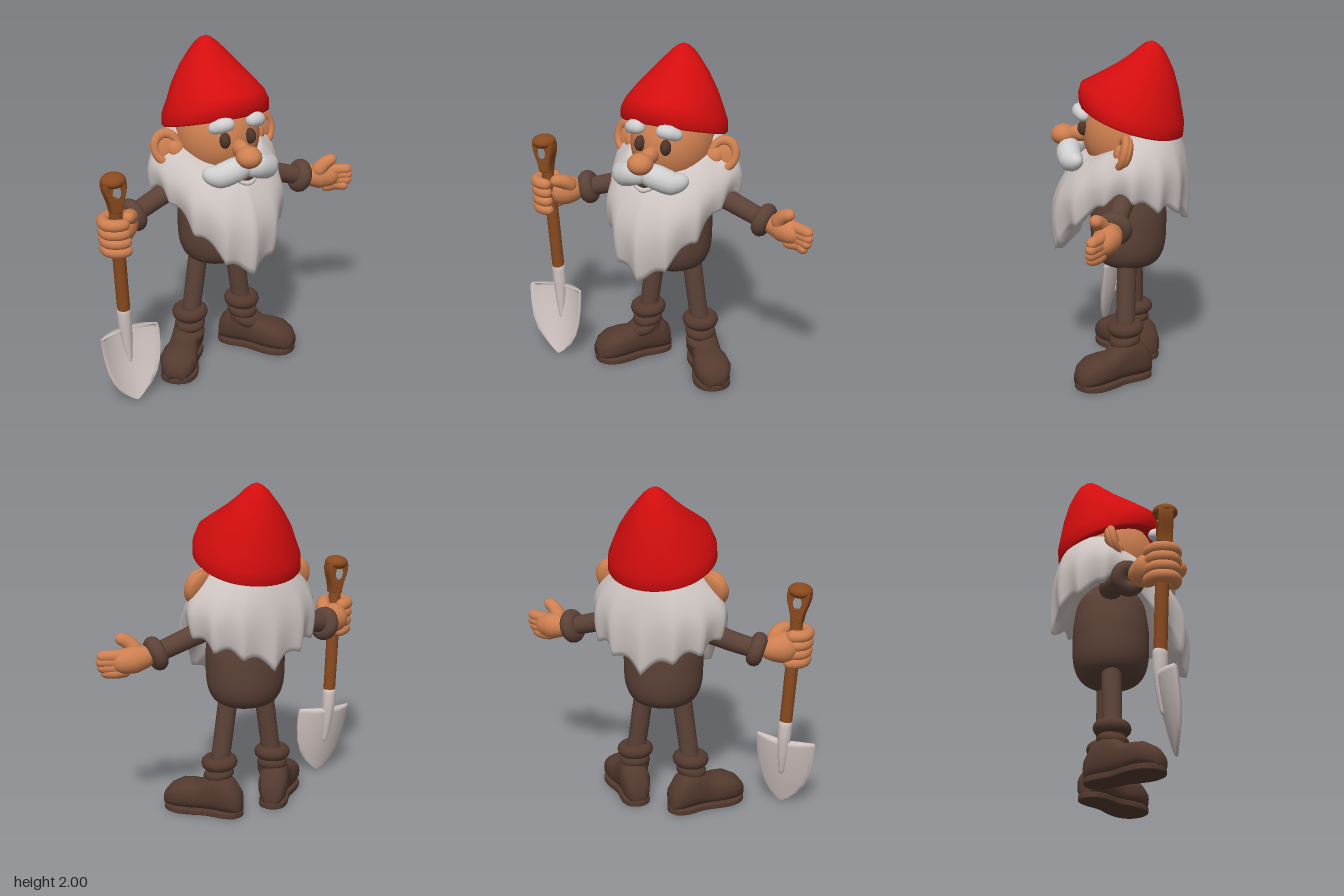
import * as THREE from 'three';

const mat = (name, color) => Object.assign(new THREE.MeshStandardMaterial({ color }), { name });
const V = (x, y, z) => new THREE.Vector3(x, y, z);

// Linear interpolation through [key, value] pairs
function lookup(table, k) {
  let i = 0;
  while (i < table.length - 2 && k > table[i + 1][0]) i++;
  const [a, va] = table[i], [b, vb] = table[i + 1];
  return THREE.MathUtils.lerp(va, vb, THREE.MathUtils.clamp((k - a) / (b - a), 0, 1));
}

// Smooth closed skin over rings of points, capped at both ends, facing outward
function loft(rings) {
  const n = rings[0].length, pts = rings.flat(), idx = [];
  for (let r = 0; r < rings.length - 1; r++)
    for (let i = 0; i < n; i++) {
      const a = r * n + i, b = r * n + (i + 1) % n;
      idx.push(a, b, a + n, b, b + n, a + n);
    }
  [0, rings.length - 1].forEach((r, end) => {
    const c = pts.length;
    pts.push(rings[r].reduce((s, p) => s.add(p), V(0, 0, 0)).divideScalar(n));
    for (let i = 0; i < n; i++) {
      const a = r * n + i, b = r * n + (i + 1) % n;
      if (end) idx.push(a, b, c);
      else idx.push(b, a, c);
    }
  });
  let volume = 0;
  for (let i = 0; i < idx.length; i += 3)
    volume += pts[idx[i]].dot(pts[idx[i + 1]].clone().cross(pts[idx[i + 2]]));
  if (volume < 0) idx.reverse();
  const g = new THREE.BufferGeometry().setFromPoints(pts);
  g.setIndex(idx);
  g.computeVertexNormals();
  return g;
}

// Round-ended tube of changing radius along a smooth path
function sweep(points, radii, n = 20, sides = 16) {
  const curve = new THREE.CatmullRomCurve3(points.map(p => V(...p)));
  const L = curve.getLength(), rings = [];
  const table = radii.map((r, i) => [i / (radii.length - 1), r]);
  const dir = curve.getTangentAt(0.5);
  const ref = Math.abs(dir.y) > 0.8 ? V(0, 0, 1) : V(0, 1, 0);
  for (let i = 0; i <= n; i++) {
    const t = (1 - Math.cos(Math.PI * i / n)) / 2, r0 = lookup(table, t);
    const d = Math.min(t, 1 - t) * L;
    const r = d < r0 ? r0 * Math.sqrt(Math.max(1e-4, 1 - (1 - d / r0) ** 2)) : r0;
    const p = curve.getPointAt(t), T = curve.getTangentAt(t);
    const A = ref.clone().cross(T).normalize(), B = T.clone().cross(A);
    rings.push(Array.from({ length: sides }, (_, k) => {
      const a = 2 * Math.PI * k / sides;
      return p.clone().addScaledVector(A, r * Math.cos(a)).addScaledVector(B, r * Math.sin(a));
    }));
  }
  return loft(rings);
}

export function createModel() {
  const M = {
    hat: mat('hat red', 0xd40d0e), skin: mat('skin', 0xcd7f50), beard: mat('beard grey', 0xcdc4c1),
    brow: mat('moustache grey', 0xcfcfcf), cloth: mat('brown cloth', 0x5c4237), boot: mat('boot leather', 0x543a2f),
    wood: mat('wood', 0x8a4a1f), metal: mat('metal', 0xcfc3c0), dark: mat('eye brown', 0x4e352a),
  };
  const model = new THREE.Group();
  model.name = 'gnome';
  const gnome = new THREE.Group();
  gnome.name = 'figure';
  gnome.position.x = -0.02;
  model.add(gnome);
  const add = (parent, name, geo, m, pos = [0, 0, 0], scale = [1, 1, 1], rot = [0, 0, 0]) => {
    const mesh = new THREE.Mesh(geo, m);
    mesh.name = name;
    mesh.position.set(...pos);
    mesh.scale.set(...scale);
    mesh.rotation.set(...rot);
    parent.add(mesh);
    return mesh;
  };
  const ball = new THREE.SphereGeometry(1, 32, 22);

  // Body
  const profile = new THREE.SplineCurve([[0, 0.66], [0.11, 0.665], [0.185, 0.7], [0.225, 0.78], [0.235, 0.9],
    [0.228, 1.05], [0.18, 1.2], [0, 1.29]].map(p => new THREE.Vector2(...p))).getPoints(40);
  profile.forEach(p => { p.x = Math.max(0, p.x); });
  add(gnome, 'body', new THREE.LatheGeometry(profile, 40), M.cloth, [0, 0, -0.06], [1, 1, 0.95]);

  // Legs and boots, turned outward
  const bootSections = [[-0.15, 0.03, 0.1], [-0.135, 0.065, 0.17], [-0.08, 0.088, 0.24], [0, 0.086, 0.28], [0.06, 0.085, 0.25],
    [0.11, 0.09, 0.205], [0.17, 0.107, 0.2], [0.24, 0.112, 0.19], [0.3, 0.09, 0.155], [0.335, 0.05, 0.11]];
  const bootGeo = loft(bootSections.map(([z, w, h]) => Array.from({ length: 28 }, (_, k) => {
    const a = 2 * Math.PI * k / 28, s = Math.sin(a);
    return V(w * Math.cos(a), 0.02 + (h - 0.02) * (0.5 + 0.5 * Math.sign(s) * Math.abs(s) ** 0.75), z);
  })));
  const outline = [[0, -0.152], [0.06, -0.125], [0.08, -0.06], [0.076, 0.05], [0.1, 0.16], [0.104, 0.24], [0.07, 0.31]];
  const mirrored = outline.slice(1).reverse().map(([x, z]) => [-x, z]);
  const soleCurve = new THREE.CatmullRomCurve3([...outline, [0, 0.335], ...mirrored].map(([x, z]) => V(x, -z, 0)), true);
  const soleShape = new THREE.Shape(soleCurve.getPoints(48).slice(0, -1).map(p => new THREE.Vector2(p.x, p.y)));
  const soleGeo = new THREE.ExtrudeGeometry(soleShape, { depth: 0.02, bevelSize: 0.006, bevelThickness: 0.008, bevelSegments: 2 });
  soleGeo.rotateX(-Math.PI / 2);
  for (const s of [1, -1]) {
    add(gnome, 'leg', sweep([[s * 0.11, 0.78, -0.07], [s * 0.18, 0.28, -0.07]], [0.058, 0.056]), M.cloth);
    const boot = new THREE.Group();
    boot.name = 'boot';
    boot.position.set(s * 0.195, 0, -0.085);
    boot.rotation.y = s * 0.7;
    gnome.add(boot);
    add(boot, 'bootUpper', bootGeo, M.boot);
    add(boot, 'bootSole', soleGeo, M.boot, [0, 0.014, 0]);
    for (const [y, z, R, r, tilt] of [[0.325, 0, 0.066, 0.042, 0.06], [0.25, 0.005, 0.058, 0.034, 0.2], [0.2, 0.03, 0.06, 0.034, 0.4]])
      add(boot, 'bootFold', new THREE.TorusGeometry(R, r, 12, 32), M.boot, [-s * 0.02, y, z], [1, 1, 1], [Math.PI / 2 + tilt, 0, 0]);
    add(boot, 'bootShaft', new THREE.CylinderGeometry(0.072, 0.078, 0.16, 24), M.boot, [-s * 0.02, 0.26, 0]);
  }

  // Head, nose, eyes, brows, moustache, ears
  add(gnome, 'head', ball, M.skin, [0, 1.46, -0.06], [0.242, 0.27, 0.265]);
  add(gnome, 'nose', ball, M.skin, [-0.006, 1.435, 0.325], [0.074, 0.062, 0.075]);
  add(gnome, 'noseBridge', ball, M.skin, [0, 1.45, 0.22], [0.045, 0.05, 0.08]);
  add(gnome, 'mouth', ball, M.dark, [0, 1.298, 0.285], [0.06, 0.025, 0.03]);
  add(gnome, 'lowerLip', sweep([[-0.06, 1.295, 0.295], [0, 1.275, 0.315], [0.06, 1.295, 0.295]], [0.012, 0.015, 0.012]), M.beard);
  for (const s of [1, -1]) {
    add(gnome, 'eye', ball, M.dark, [s * 0.08, 1.5, 0.185], [0.031, 0.046, 0.04], [0, s * 0.3, 0]);
    add(gnome, 'brow', sweep([[s * 0.04, 1.6, 0.215], [s * 0.1, 1.605, 0.21], [s * 0.17, 1.57, 0.16]], [0.036, 0.044, 0.03]), M.brow);
    add(gnome, 'moustache', sweep([[-s * 0.03, 1.36, 0.26], [s * 0.07, 1.355, 0.28], [s * 0.15, 1.325, 0.25], [s * 0.23, 1.335, 0.19]],
      [0.058, 0.072, 0.07, 0.036], 28), M.brow);
    const ear = new THREE.Group();
    ear.name = 'ear';
    ear.position.set(s * 0.315, 1.415, -0.08);
    ear.rotation.set(-0.25, s * 0.3, -s * 0.15);
    gnome.add(ear);
    add(ear, 'earBack', ball, M.skin, [0, 0, -0.012], [0.088, 0.1, 0.036]);
    add(ear, 'earRim', new THREE.TorusGeometry(0.068, 0.024, 12, 32), M.skin, [0, 0, 0.008], [1, 1.2, 1]);
    add(ear, 'earInner', ball, M.skin, [-s * 0.05, -0.025, 0], [0.055, 0.06, 0.045]);
  }

  // Beard and hair as one skirt around the head, ending in pointed locks
  const hem = [[0, 0.73], [15, 0.79], [30, 0.88], [45, 0.97], [60, 1.03], [80, 1.14], [100, 1.18], [120, 1.11], [150, 1.07], [180, 0.99]];
  const flare = [[0, 0.435], [30, 0.41], [60, 0.365], [80, 0.36], [100, 0.41], [130, 0.405], [180, 0.365]];
  const top = [[0, 1.35], [30, 1.33], [50, 1.35], [70, 1.39], [88, 1.42], [105, 1.5], [180, 1.55]];
  const ring = f => Array.from({ length: 128 }, (_, k) => {
    const th = 2 * Math.PI * k / 128 - Math.PI, d = Math.abs(th) * 180 / Math.PI;
    const lock = 1 - 1.6 * Math.abs(Math.sin(7 * th + 0.4 * Math.sin(3 * th)));
    const tip = lookup(hem, d) - 0.028 * lock * Math.min(1, d / 15);
    const [r, y] = f(d, lock, tip);
    return V(r * Math.sin(th), y, -0.04 + r * Math.cos(th));
  });
  const skirt = t => (d, lock, tip) => {
    const r0 = 0.245 + 0.035 * Math.max(0, d - 90) / 90;
    const p = t < 0.65 ? 1 - (1 - t / 0.65) ** 2 : 1 - 0.15 * ((t - 0.65) / 0.35) ** 2;
    return [r0 + (lookup(flare, d) - r0) * p + 0.018 * lock * t, THREE.MathUtils.lerp(lookup(top, d), tip, t)];
  };
  const beardRings = Array.from({ length: 17 }, (_, i) => ring(skirt(i / 16)));
  beardRings.push(
    ring((d, lock, tip) => [skirt(1)(d, lock, tip)[0] * 0.9, tip + 0.005]),
    ring((d, lock, tip) => [0.27, Math.min(1.2, tip + 0.12)]),
    ring(() => [0.15, 1.24]));
  add(gnome, 'beardAndHair', loft(beardRings), M.beard);

  // Hat: tilted rings given as front y, front z, back y, back z, half width
  const hatRings = [[1.64, 0.17, 1.47, -0.31, 0.26], [1.625, 0.205, 1.445, -0.35, 0.3], [1.64, 0.225, 1.455, -0.375, 0.313],
    [1.7, 0.23, 1.53, -0.38, 0.308], [1.755, 0.215, 1.62, -0.365, 0.275], [1.8, 0.13, 1.72, -0.348, 0.232],
    [1.865, 0.01, 1.83, -0.318, 0.165], [1.925, -0.075, 1.905, -0.285, 0.107], [1.965, -0.12, 1.955, -0.258, 0.067],
    [1.99, -0.155, 1.985, -0.225, 0.033], [2.0, -0.185, 2.0, -0.195, 0.005]];
  add(gnome, 'hat', loft(hatRings.map(([fy, fz, by, bz, w], i) => Array.from({ length: 48 }, (_, k) => {
    const a = 2 * Math.PI * k / 48, c = (1 + Math.cos(a)) / 2, dent = 1 + (i > 3 && i < 8 ? 0.015 * Math.sin(5 * a + i) : 0);
    return V(w * Math.sin(a) * dent, by + (fy - by) * c, bz + (fz - bz) * c);
  }))), M.hat);

  // Arms and cuffs
  const arms = [[[0.14, 1.2, -0.09], [0.38, 1.12, -0.08], [0.58, 1.055, -0.07]], [[-0.17, 1.2, -0.09], [-0.4, 1.12, -0.07], [-0.6, 1.06, -0.025]]];
  for (const path of arms) {
    add(model, 'arm', sweep(path, [0.075, 0.06, 0.055]), M.cloth);
    const cuff = add(model, 'cuff', new THREE.TorusGeometry(0.057, 0.045, 14, 32), M.cloth, path[2]);
    cuff.position.lerp(V(...path[1]), 0.1);
    cuff.quaternion.setFromUnitVectors(V(0, 0, 1), V(...path[2]).sub(V(...path[1])).normalize());
  }

  // Open left hand
  add(model, 'leftPalm', sweep([[0.56, 1.055, -0.07], [0.67, 1.045, -0.06], [0.81, 1.022, -0.022]], [0.05, 0.08, 0.06]), M.skin);
  [0.885, 0.89, 0.88, 0.855].forEach((tipX, i) => {
    add(model, 'leftFinger', sweep([[0.7, 1.075 - i * 0.034, -0.055 + i * 0.008], [0.8, 1.07 - i * 0.033, -0.025],
      [tipX, 1.07 - i * 0.034, 0.01 + i * 0.005]], [0.036, 0.034, 0.03]), M.skin);
  });
  add(model, 'leftThumb', sweep([[0.65, 1.06, -0.04], [0.7, 1.13, -0.015], [0.77, 1.17, 0.005]], [0.052, 0.042, 0.032]), M.skin);

  // Right hand gripping the shovel
  add(model, 'rightPalm', sweep([[-0.6, 1.06, -0.02], [-0.67, 1.06, 0.045], [-0.78, 1.06, 0.12]], [0.058, 0.09, 0.095]), M.skin);
  for (let i = 0; i < 4; i++) {
    const y = 1.135 - i * 0.054, x = -0.008 + i * 0.004;
    add(model, 'rightFinger', sweep([[x - 0.72, y, 0.05], [x - 0.81, y, 0.09], [x - 0.82, y, 0.165], [x - 0.765, y, 0.205], [x - 0.7, y - 0.004, 0.195]],
      [0.038, 0.036, 0.035, 0.035, 0.031], 24), M.skin);
  }
  add(model, 'rightThumb', sweep([[-0.64, 1.08, 0.05], [-0.665, 1.135, 0.12], [-0.715, 1.158, 0.185]], [0.05, 0.044, 0.032]), M.skin);

  // Shovel
  const shovel = new THREE.Group();
  shovel.name = 'shovel';
  shovel.position.x = -0.69;
  shovel.rotation.z = 0.06;
  model.add(shovel);
  add(shovel, 'shaft', sweep([[0, 0.5, 0.12], [0, 0.9, 0.13], [0, 1.28, 0.145]], [0.037, 0.038, 0.037]), M.wood);
  const grip = new THREE.Shape();
  grip.moveTo(-0.025, 1.21);
  grip.bezierCurveTo(-0.03, 1.28, -0.058, 1.31, -0.058, 1.365);
  grip.bezierCurveTo(-0.058, 1.425, 0.058, 1.425, 0.058, 1.365);
  grip.bezierCurveTo(0.058, 1.31, 0.03, 1.28, 0.025, 1.21);
  grip.holes.push(new THREE.Path().absellipse(0, 1.325, 0.025, 0.038, 0, Math.PI * 2, true));
  add(shovel, 'grip', new THREE.ExtrudeGeometry(grip, { depth: 0.035, bevelSize: 0.011, bevelThickness: 0.024, bevelSegments: 5, curveSegments: 16 }),
    M.wood, [0, 0, 0.13]);
  add(shovel, 'gripTop', ball, M.wood, [0, 1.388, 0.15], [0.071, 0.042, 0.07]);
  add(shovel, 'socket', sweep([[0, 0.22, 0.137], [0, 0.32, 0.127], [0, 0.45, 0.12], [0, 0.6, 0.12]], [0.014, 0.03, 0.041, 0.042]), M.metal);
  const bladeRows = [[0.005, 0.006], [0.03, 0.045], [0.08, 0.095], [0.15, 0.137], [0.23, 0.163], [0.33, 0.178], [0.42, 0.182], [0.445, 0.177]];
  const bladeGeo = loft(bladeRows.map(([y, w]) => Array.from({ length: 26 }, (_, k) => {
    const back = k > 12, x = w * ((back ? 25 - k : k) / 6 - 1);
    return V(x, y, 0.112 + 2.1 * x * x + 0.1 * (1 - y / 0.45) ** 1.4 - (back ? 0.014 : 0));
  })));
  add(shovel, 'blade', bladeGeo, M.metal);
  return model;
}
